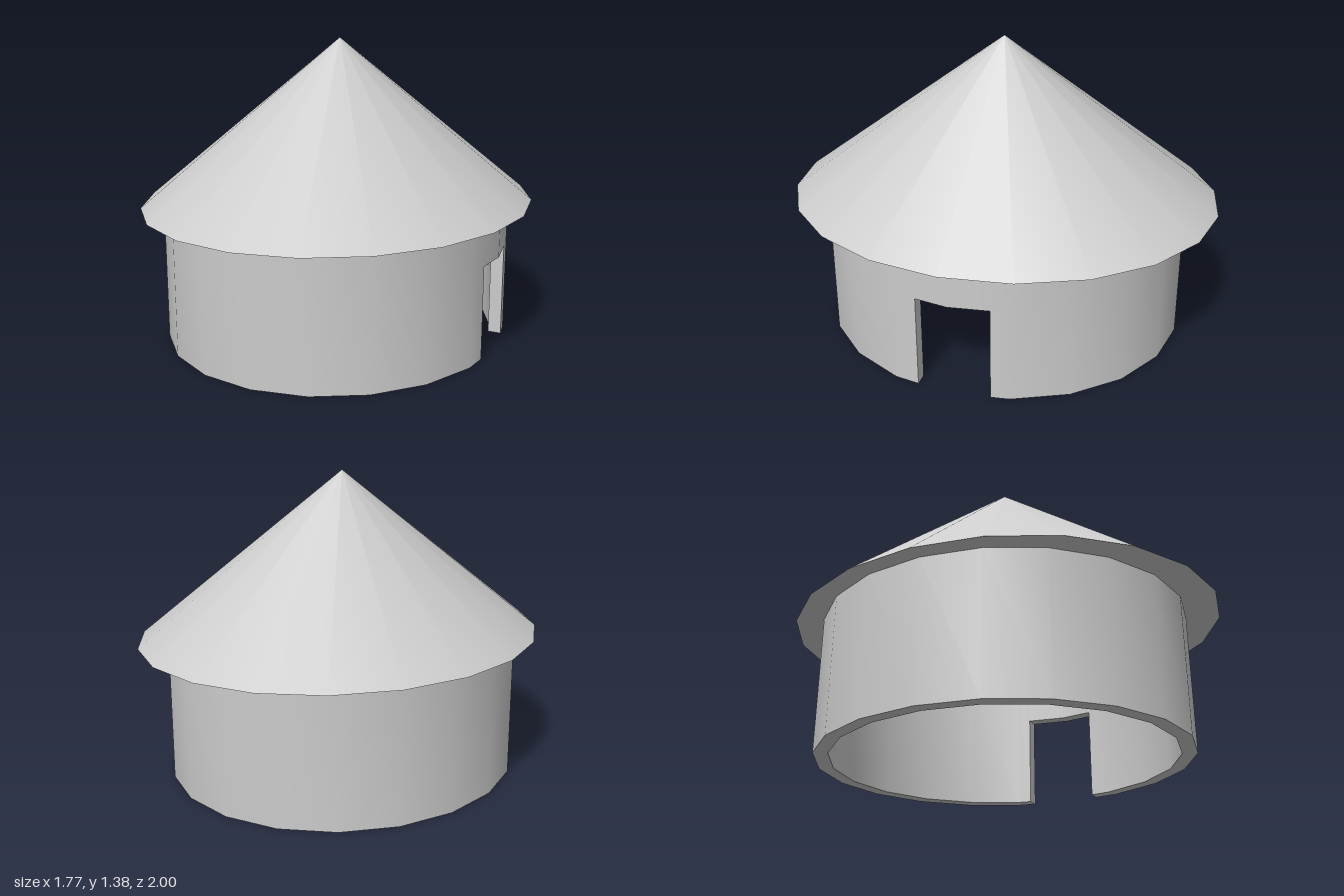
import * as THREE from 'three';
import { toCreasedNormals } from 'three/addons/utils/BufferGeometryUtils.js';

const SIDES = 20, EAVES = 0.63, APEX = 1.375, DOOR_TOP = 0.43;
const ROOF = { cx: 0, rx: 0.883, rz: 1 };
const OUTER = { cx: -0.011, rx: 0.79, rz: 0.848 };
const INNER = { cx: -0.011, rx: 0.73, rz: 0.78 };
// door jambs, measured in plan as -z
const JAMB_A = 0.18, JAMB_B = -0.15;

const grey = new THREE.MeshStandardMaterial({ color: 0xcccccc });
const greyDouble = new THREE.MeshStandardMaterial({ color: 0xcccccc, side: THREE.DoubleSide });

// corner k of an oval ring, in plan (x, -z)
function corner(r, k) {
  const a = (k / SIDES) * Math.PI * 2;
  return new THREE.Vector2(r.cx + r.rx * Math.cos(a), r.rz * Math.sin(a));
}

function corners(r, from, to) {
  const pts = [];
  for (let k = from; k <= to; k++) pts.push(corner(r, k));
  return pts;
}

// point where a jamb line meets the ring's facet beside the doorway
function jamb(r, v) {
  const a = corner(r, 0), b = corner(r, 1);
  return new THREE.Vector2(a.x + (b.x - a.x) * Math.abs(v) / b.y, v);
}

// plan outline raised from y0 to y1
function raise(name, pts, y0, y1) {
  const geo = new THREE.ExtrudeGeometry(new THREE.Shape(pts), { depth: y1 - y0, bevelEnabled: false });
  geo.rotateX(-Math.PI / 2).translate(0, y0, 0);
  const mesh = new THREE.Mesh(toCreasedNormals(geo, 0.6), grey);
  mesh.name = name;
  return mesh;
}

export function createModel() {
  const hut = new THREE.Group();
  hut.name = 'roundHut';

  // wall ring, open at the doorway
  const around = r => [jamb(r, JAMB_A), ...corners(r, 1, SIDES - 1), jamb(r, JAMB_B)];
  hut.add(raise('wall', [...around(OUTER), ...around(INNER).reverse()], 0, EAVES));

  // lintel closing the ring above the doorway
  const across = r => [jamb(r, JAMB_B), corner(r, 0), jamb(r, JAMB_A)];
  hut.add(raise('doorLintel', [...across(OUTER), ...across(INNER).reverse()], DOOR_TOP, EAVES));

  // oval cone roof, open to the inside
  const cone = new THREE.ConeGeometry(1, APEX - EAVES, SIDES, 1, true);
  cone.scale(ROOF.rx, 1, ROOF.rz).translate(0, (APEX + EAVES) / 2, 0);
  const roof = new THREE.Mesh(cone, greyDouble);
  roof.name = 'roof';
  hut.add(roof);

  // flat underside of the eaves
  const soffit = new THREE.Shape(corners(ROOF, 0, SIDES - 1));
  soffit.holes.push(new THREE.Path(corners(INNER, 0, SIDES - 1).reverse()));
  const eaves = new THREE.Mesh(new THREE.ShapeGeometry(soffit).rotateX(-Math.PI / 2), greyDouble);
  eaves.position.y = EAVES;
  eaves.name = 'eaves';
  hut.add(eaves);

  return hut;
}
